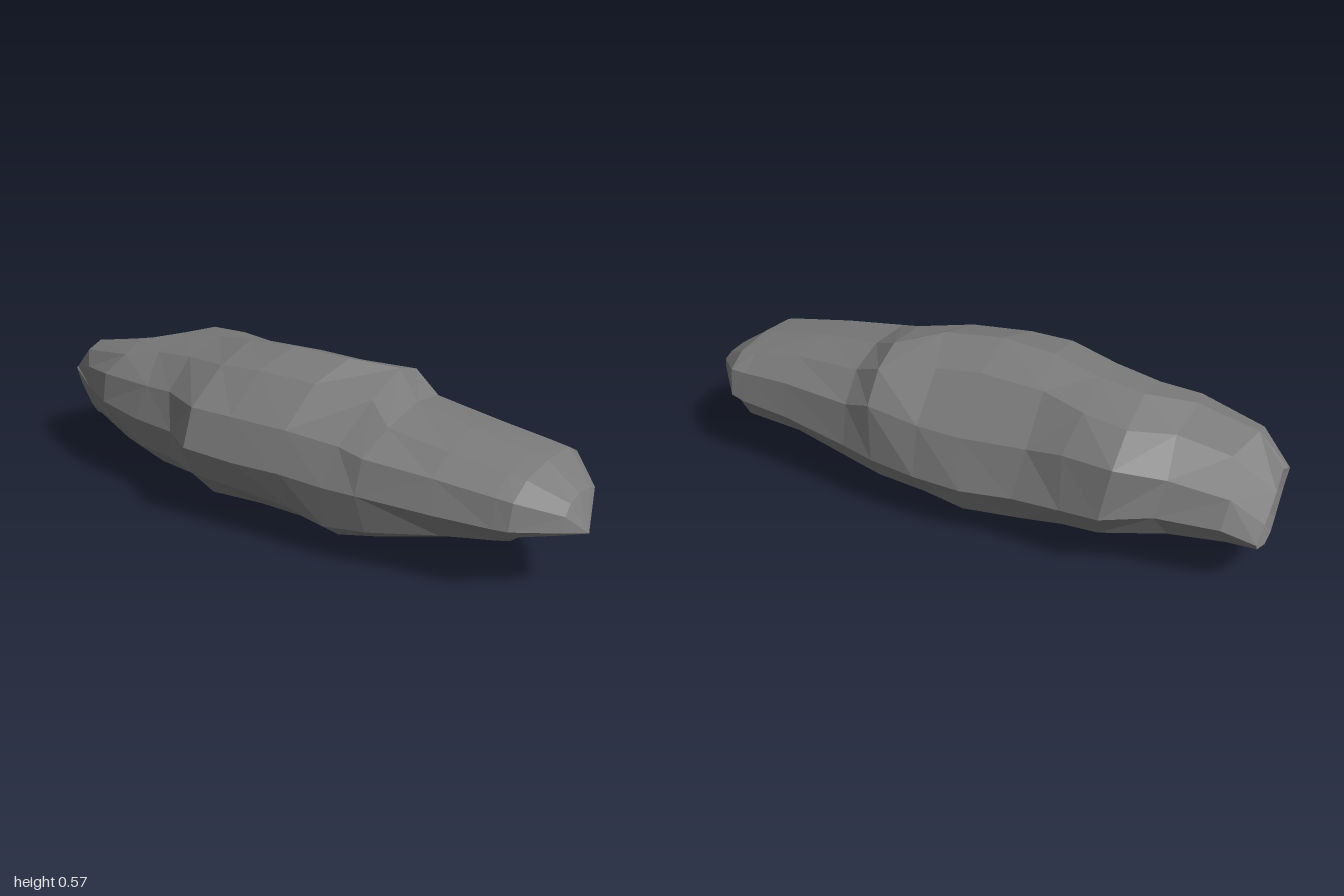
import * as THREE from 'three';

// Cross-sections along x: [x, topY, topZ, bottomY, bottomZ, frontZ, frontY, backZ, backY]
const SECTIONS = [
  [-0.985, 0.315, 0.05, 0.105, 0.01, 0.085, 0.305, -0.19, 0.19],
  [-0.87, 0.425, 0.05, 0.10, 0.00, 0.165, 0.29, -0.235, 0.24],
  [-0.70, 0.47, 0.05, 0.085, 0.02, 0.225, 0.29, -0.265, 0.24],
  [-0.54, 0.505, -0.03, 0.05, 0.03, 0.25, 0.28, -0.325, 0.22],
  [-0.40, 0.525, -0.03, 0.045, 0.06, 0.26, 0.28, -0.32, 0.21],
  [-0.26, 0.555, -0.01, 0.003, 0.08, 0.342, 0.29, -0.32, 0.20],
  [-0.08, 0.57, -0.015, 0.028, 0.02, 0.32, 0.28, -0.345, 0.19],
  [0.10, 0.56, -0.05, 0.035, 0.00, 0.295, 0.28, -0.343, 0.19],
  [0.26, 0.53, -0.14, 0.04, 0.00, 0.275, 0.27, -0.335, 0.20],
  [0.36, 0.468, -0.07, 0.055, -0.02, 0.26, 0.27, -0.315, 0.21],
  [0.60, 0.44, -0.05, 0.10, -0.06, 0.21, 0.26, -0.295, 0.24],
  [0.77, 0.41, -0.06, 0.13, -0.10, 0.17, 0.255, -0.29, 0.25],
  [0.82, 0.40, -0.06, 0.19, -0.06, 0.158, 0.255, -0.285, 0.26],
  [0.94, 0.325, -0.06, 0.215, -0.04, 0.045, 0.24, -0.17, 0.28],
];
// Roundness of each section's quadrants, below 1 fuller, above 1 leaner:
// [upperFront, upperBack, lowerFront, lowerBack]
const ROUNDNESS = [
  [1, 1.3, 1.6, 1.2],
  [0.9, 1.15, 1.2, 1.15],
  [0.9, 1.05, 1.1, 1.15],
  [1, 0.78, 1.05, 1.05],
  [1, 0.85, 1.1, 1],
  [1.1, 1.15, 1.4, 0.95],
  [1.15, 1.25, 1.15, 0.85],
  [1.15, 1.15, 0.95, 0.95],
  [1.1, 0.8, 0.7, 1.05],
  [0.85, 0.85, 0.75, 1.05],
  [0.8, 0.8, 1, 1.1],
  [0.8, 0.7, 1.1, 1.1],
  [0.8, 0.65, 1.1, 1.1],
  [0.85, 0.8, 1, 1],
];
const LEFT_END = [-0.92, 0.22, -0.03]; // hollow blunt end
const RIGHT_END = [0.995, 0.228, -0.02]; // pointed end
const SIDES = 12;

// Repeatable noise in -1..1
function noise(i, j) {
  const s = Math.sin(i * 12.9898 + j * 78.233) * 43758.5453;
  return (s - Math.floor(s)) * 2 - 1;
}

// Point j of section i: four rounded quadrants joining front, top, back and bottom
function sectionPoint(i, j) {
  const [x, topY, topZ, botY, botZ, frontZ, frontY, backZ, backY] = SECTIONS[i];
  const quarter = SIDES / 4;
  const quadrant = Math.floor(j / quarter);
  const power = ROUNDNESS[i][[0, 1, 3, 2][quadrant]];
  const a = ((j % quarter) / quarter) * Math.PI / 2;
  const near = Math.cos(a) ** power, far = Math.sin(a) ** power;
  const [c, s] = quadrant % 2 ? [far, near] : [near, far];

  // a quadrant runs from the side point to the pole point around their shared corner
  const isFront = quadrant === 0 || quadrant === 3, isTop = quadrant < 2;
  const sideZ = isFront ? frontZ : backZ, sideY = isFront ? frontY : backY;
  const poleZ = isTop ? topZ : botZ, poleY = isTop ? topY : botY;
  let z = poleZ + (sideZ - poleZ) * c;
  let y = sideY + (poleY - sideY) * s;

  // chipped surface, leaving the four extreme points in place
  if (j % quarter !== 0) {
    const k = 1.005 + 0.018 * noise(i, j);
    const midZ = (frontZ + backZ) / 2, midY = (topY + botY) / 2;
    z = midZ + (z - midZ) * k;
    y = midY + (y - midY) * k;
  }
  const slide = i > 0 && i < SECTIONS.length - 3 ? 0.025 : 0.008;
  return [x + slide * noise(j, i + 5), y, z];
}

function rockGeometry() {
  const points = [], index = [];
  const rows = SECTIONS.length;
  for (let i = 0; i < rows; i++)
    for (let j = 0; j < SIDES; j++) points.push(...sectionPoint(i, j));
  points.push(...LEFT_END, ...RIGHT_END);
  const left = rows * SIDES, right = left + 1;
  const at = (i, j) => i * SIDES + (j % SIDES);

  for (let j = 0; j < SIDES; j++) {
    // body facets, with the diagonal varied for a natural break-up
    for (let i = 0; i < rows - 1; i++) {
      const a = at(i, j), b = at(i, j + 1), c = at(i + 1, j), d = at(i + 1, j + 1);
      if (noise(i + 3, j) > 0) index.push(a, c, b, b, c, d);
      else index.push(a, c, d, a, d, b);
    }
    // end caps
    index.push(left, at(0, j), at(0, j + 1));
    index.push(at(rows - 1, j), right, at(rows - 1, j + 1));
  }

  const indexed = new THREE.BufferGeometry();
  indexed.setAttribute('position', new THREE.Float32BufferAttribute(points, 3));
  indexed.setIndex(index);
  const geometry = indexed.toNonIndexed();
  geometry.computeVertexNormals();
  return geometry;
}

export function createModel() {
  const group = new THREE.Group();
  group.name = 'rock';
  const stone = new THREE.MeshStandardMaterial({ color: 0x7a7a7a, flatShading: true });
  const body = new THREE.Mesh(rockGeometry(), stone);
  body.name = 'boulder';
  group.add(body);
  return group;
}
